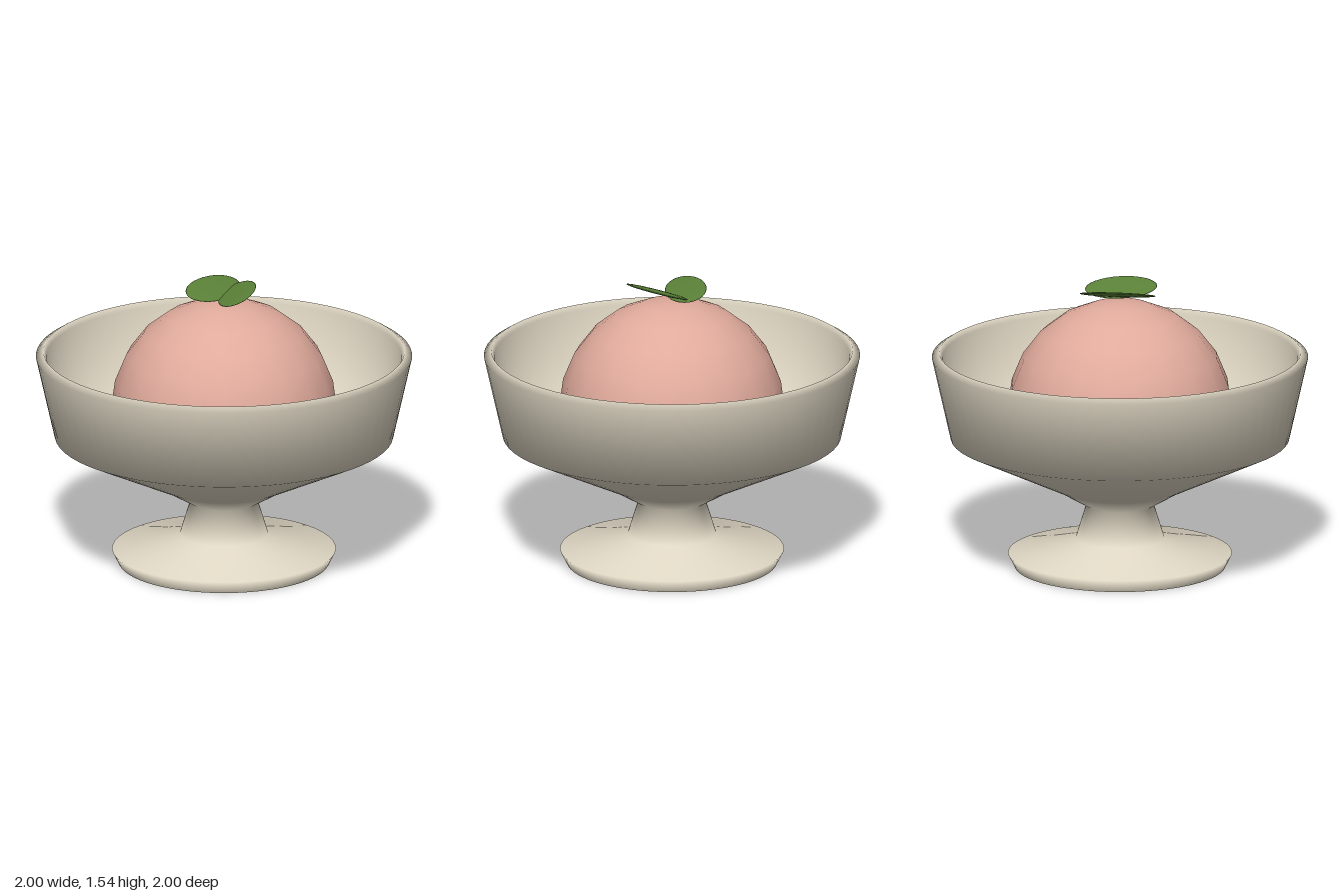
import * as THREE from 'three';

const ceramic = new THREE.MeshStandardMaterial({ color: 0xddd5c2 });
ceramic.name = 'cream ceramic';
const pink = new THREE.MeshStandardMaterial({ color: 0xe0aa9c });
pink.name = 'pink ice cream';
const green = new THREE.MeshStandardMaterial({ color: 0x5b8238 });
green.name = 'mint green';

const lathe = (points) =>
  new THREE.LatheGeometry(points.map(([r, y]) => new THREE.Vector2(r, y)), 64);

function addMesh(group, name, geometry, material) {
  const mesh = new THREE.Mesh(geometry, material);
  mesh.name = name;
  group.add(mesh);
  return mesh;
}

export function createModel() {
  const model = new THREE.Group();
  model.name = 'dessertBowl';

  // flat underside of the foot
  const underside = addMesh(model, 'footUnderside', new THREE.CircleGeometry(0.56, 64), ceramic);
  underside.rotation.x = Math.PI / 2;

  // foot, stem, outer wall, rim and inner wall in one smooth profile
  addMesh(model, 'bowl', lathe([
    [0.56, 0], [0.595, 0.07], [0.235, 0.155], [0.18, 0.335], [0.34, 0.43],
    [0.9, 0.7], [1, 1.145], [0.96, 1.17], [0.945, 1.14],
    [0.87, 0.72], [0.34, 0.47], [0, 0.42],
  ]), ceramic);

  // scoop resting on the inside of the bowl
  const scoop = addMesh(model, 'scoop',
    new THREE.SphereGeometry(0.6, 20, 8, 0, Math.PI * 2, 0, Math.PI * 2 / 3), pink);
  scoop.position.y = 0.85;

  // two tilted mint leaves
  const leafGeometry = new THREE.SphereGeometry(1, 32, 12).scale(0.105, 0.01, 0.205);
  for (const [name, x, z, yaw, tilt] of [
    ['rightLeaf', -0.075, -0.003, 0, -0.33],
    ['leftLeaf', 0.083, -0.005, 0.55, 0.33],
  ]) {
    const leaf = addMesh(model, name, leafGeometry, green);
    leaf.position.set(x, 1.505, z);
    leaf.rotation.set(0, yaw, tilt);
  }

  return model;
}
